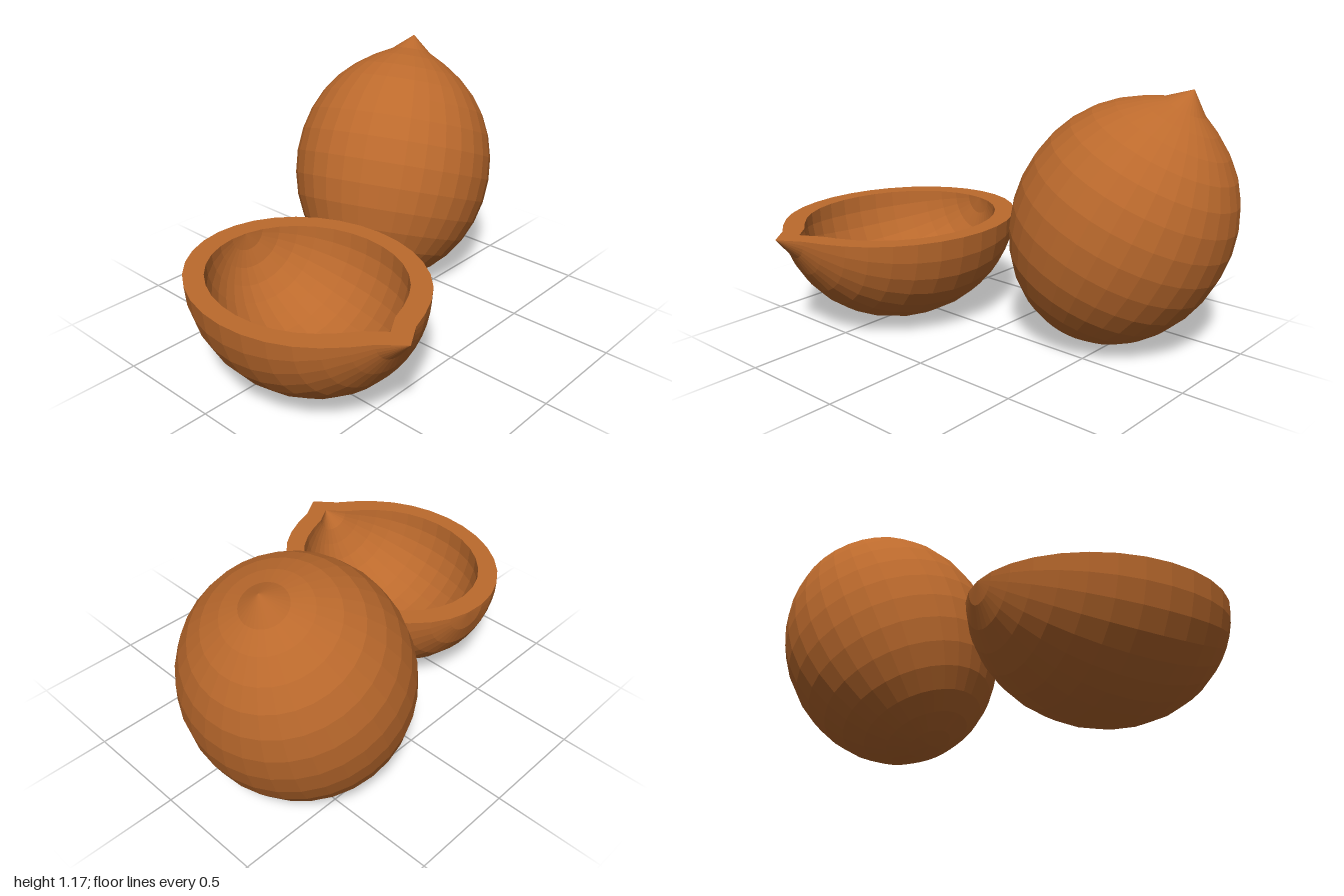
import * as THREE from 'three';

export function createModel() {
  const group = new THREE.Group();
  const shellBrown = new THREE.MeshStandardMaterial({ color: 0xbc6a2d, flatShading: true });
  shellBrown.name = 'shell brown';

  // Nut profile from base to pointed tip: an ellipse whose last rings are pulled up
  const RADIUS = 0.49, LENGTH = 0.575, RINGS = 16;
  const profile = [];
  for (let i = 0; i <= RINGS - 3; i++) {
    const a = -Math.PI / 2 + (Math.PI * i) / RINGS;
    profile.push(new THREE.Vector2(i === 0 ? 0 : RADIUS * Math.cos(a), LENGTH * Math.sin(a)));
  }
  profile.push(new THREE.Vector2(0.183, 0.54), new THREE.Vector2(0.098, 0.586), new THREE.Vector2(0, 0.67));

  const addPart = (parent, geometry, name) => {
    const mesh = new THREE.Mesh(geometry, shellBrown);
    mesh.name = name;
    parent.add(mesh);
    return mesh;
  };

  // Whole nut, leaning on its base
  const whole = addPart(group, new THREE.LatheGeometry(profile, 32), 'wholeNut');
  whole.position.set(0.495, 0.567, -0.283);
  whole.quaternion.setFromUnitVectors(
    new THREE.Vector3(0, 1, 0),
    new THREE.Vector3(0.265, 0.6, -0.097).normalize()
  );

  // Hollow half shell, lying with the cut side up and the tip towards the front
  const half = new THREE.Group();
  half.name = 'halfShell';
  half.position.set(-0.508, 0.5, 0.11);
  half.rotation.y = -0.168;
  group.add(half);

  const inner = profile.map((p) => p.clone().multiplyScalar(0.825));
  const halfLathe = (points) =>
    new THREE.LatheGeometry(points, 16, -Math.PI / 2, Math.PI).rotateX(Math.PI / 2);
  addPart(half, halfLathe(profile), 'outerShell');
  addPart(half, halfLathe([...inner].reverse()), 'innerHollow');

  // Flat cut rim between the outer and inner outlines
  const outline = (points) => [
    ...points.map((p) => new THREE.Vector2(p.x, -p.y)),
    ...points.slice(1, -1).reverse().map((p) => new THREE.Vector2(-p.x, -p.y)),
  ];
  const rim = new THREE.Shape(outline(profile));
  rim.holes.push(new THREE.Path(outline(inner)));
  addPart(half, new THREE.ShapeGeometry(rim).rotateX(-Math.PI / 2), 'cutRim');

  return group;
}
